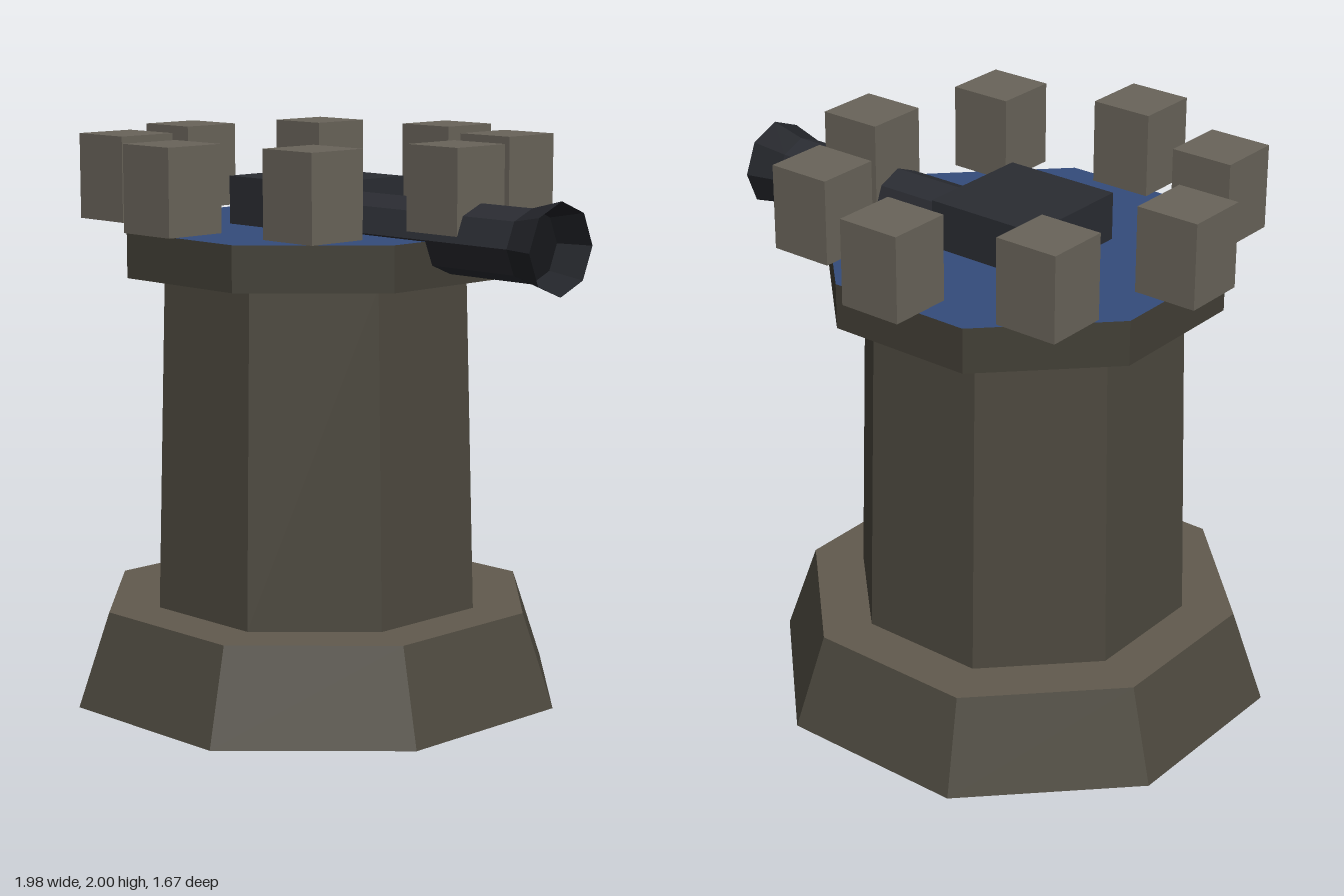
import * as THREE from 'three';

const mat = (color, side = THREE.FrontSide) =>
  new THREE.MeshStandardMaterial({ color, side, flatShading: true });

export function createModel() {
  const model = new THREE.Group();
  const wallStone = mat(0x4c483e, THREE.DoubleSide);
  const rimStone = mat(0x423f36, THREE.DoubleSide);
  const ledgeStone = mat(0x625a4e, THREE.DoubleSide);
  const paleStone = mat(0x69645a);
  const blue = mat(0x344c7c, THREE.DoubleSide);
  const iron = mat(0x2a2c32);
  const openIron = mat(0x222429, THREE.DoubleSide);
  const boreIron = mat(0x16181b);
  const centreX = -0.152;

  const add = (name, geometry, material, parent) => {
    const mesh = new THREE.Mesh(geometry, material);
    mesh.name = name;
    parent.add(mesh);
    return mesh;
  };

  // Stone tower
  const tower = new THREE.Group();
  tower.name = 'tower';
  tower.position.x = centreX;
  model.add(tower);

  // Hollow eight-sided storey, flats facing the axes, open below and closed
  // above; sizes are half-widths across flats
  const storey = (name, bottomHalf, topHalf, y0, y1, wallMaterial, topMaterial) => {
    const k = 1 / Math.cos(Math.PI / 8);
    const walls = new THREE.CylinderGeometry(topHalf * k, bottomHalf * k, y1 - y0, 8, 1, true)
      .rotateY(Math.PI / 8);
    add(name + 'Walls', walls, wallMaterial, tower).position.y = (y0 + y1) / 2;
    const top = new THREE.CircleGeometry(topHalf * k, 8)
      .rotateX(-Math.PI / 2)
      .rotateY(Math.PI / 8);
    add(name + 'Top', top, topMaterial, tower).position.y = y1;
  };
  storey('base', 0.837, 0.73, 0, 0.335, wallStone, ledgeStone);
  storey('shaft', 0.557, 0.525, 0.335, 1.52, wallStone, ledgeStone);
  storey('platform', 0.65, 0.65, 1.52, 1.68, rimStone, blue);

  // Ring of eight axis-aligned battlement blocks
  const block = new THREE.BoxGeometry(0.232, 0.3, 0.232);
  for (let i = 0; i < 8; i++) {
    const a = (i * Math.PI) / 4;
    add('battlement', block, paleStone, tower)
      .position.set(0.672 * Math.cos(a), 1.85, 0.672 * Math.sin(a));
  }

  // Cannon: mount block, barrel along +x and an open flared muzzle
  const cannon = new THREE.Group();
  cannon.name = 'cannon';
  cannon.position.y = 1.685;
  model.add(cannon);
  add('mount', new THREE.BoxGeometry(0.435, 0.33, 0.435), iron, cannon)
    .position.x = centreX;

  const tube = (rEnd, rStart, x0, x1, open) =>
    new THREE.CylinderGeometry(rEnd, rStart, x1 - x0, 8, 1, open)
      .rotateZ(-Math.PI / 2)
      .translate((x0 + x1) / 2, 0, 0);
  add('barrel', tube(0.125, 0.125, -0.1, 0.863, false), [iron, boreIron, iron], cannon);
  add('muzzle', tube(0.157, 0.125, 0.863, 0.989, true), openIron, cannon);

  return model;
}
